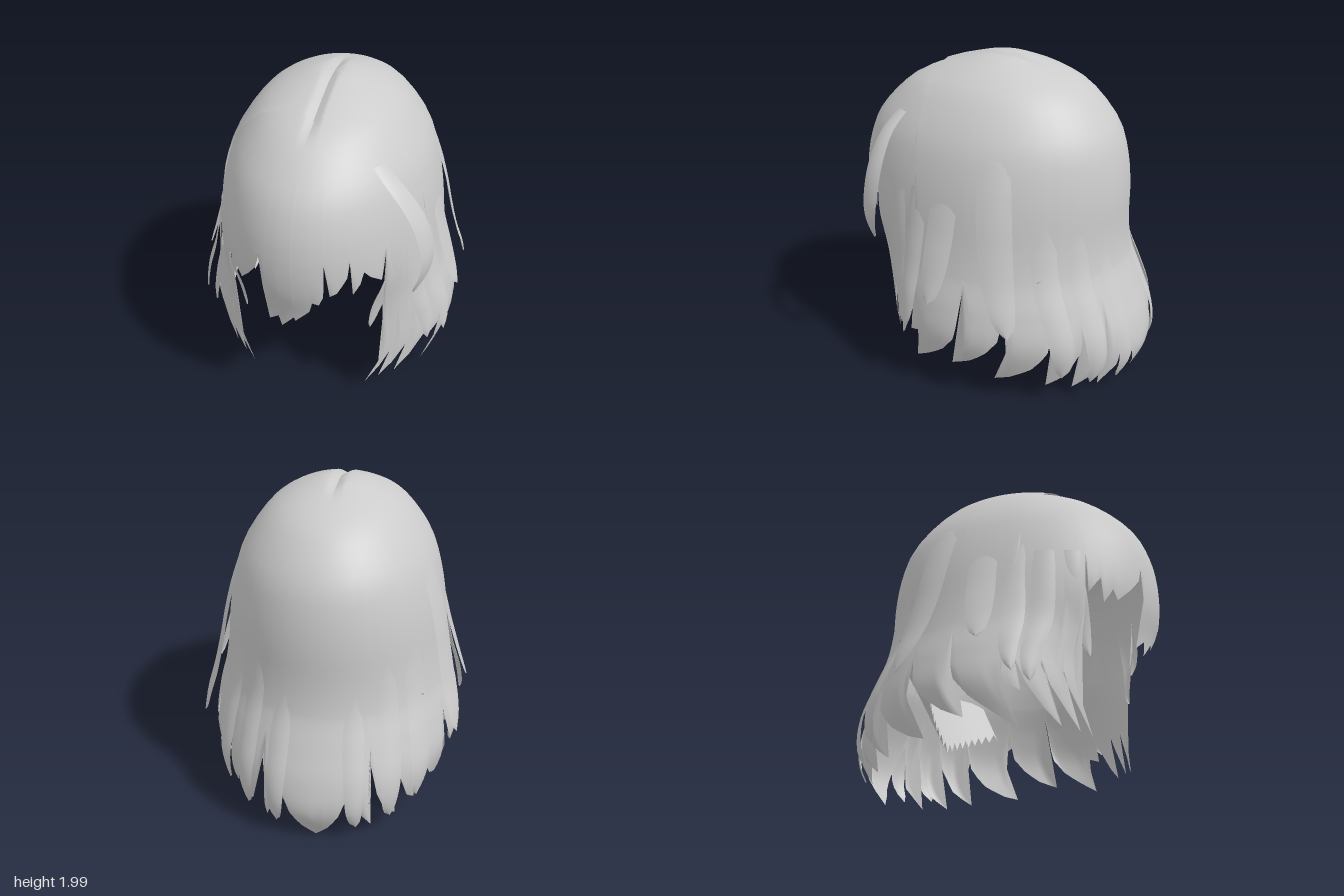
import * as THREE from 'three';

const material = new THREE.MeshStandardMaterial({ color: 0xcccccc, side: THREE.DoubleSide });

// Head profile, crown to tips: height, half width, reach to front, reach to back
const ROWS = [
  [2, 0, 0, 0], [1.99, .1, .11, .11], [1.96, .195, .23, .22], [1.9, .32, .42, .4],
  [1.8, .445, .63, .57], [1.6, .58, .835, .73], [1.4, .645, .925, .79], [1.2, .68, .955, .81],
  [1, .7, .945, .81], [.8, .73, .895, .83], [.6, .78, .865, .9], [.4, .8, .85, .97],
  [.2, .74, .85, .99], [0, .66, .8, .9],
];
const spline = pick => new THREE.CatmullRomCurve3(
  ROWS.map(r => new THREE.Vector3(...pick(r))), false, 'catmullrom', .5);
const reach = spline(r => [r[1], r[2], r[3]]);
const height = spline(r => [0, r[0], 0]);
const { clamp, lerp, degToRad, smoothstep } = THREE.MathUtils;

// Position along the profile (0 crown .. 1 tips) for a height
function alongOf(y) {
  let lo = 0, hi = 1;
  for (let i = 0; i < 22; i++) {
    const mid = (lo + hi) / 2;
    if (height.getPoint(mid).y > y) lo = mid; else hi = mid;
  }
  return (lo + hi) / 2;
}

// Point on the hair shell; deg 0 is the front, 90 the model's left, 180 the back
function shell(deg, t, off) {
  let y = height.getPoint(t).y;
  const r = reach.getPoint(t);
  let a = degToRad(deg);
  const low = Math.max(0, .6 - y);
  const cheek = (Math.max(0, Math.cos(a)) * Math.sin(a)) ** 2;
  // tips sweep forward, hair beside the face hangs straight down
  a -= Math.sin(a) * (low * low + .45 * cheek * smoothstep(1.1 - y, 0, .4));
  const k = 1 + off / .8 - .36 * cheek * smoothstep(1.1 - y, 0, .6);
  const x = Math.sin(a) * r.x * k;
  const z = .03 + Math.cos(a) * (Math.cos(a) > 0 ? r.y : r.z) * k;
  if (y > 1.2) y = 1.2 + (y - 1.2) * k;
  // centre parting
  if (y > 1.8) y -= .03 * Math.max(0, 1 - Math.abs(x) / .05) * clamp((z + .25) / .2, 0, 1) * clamp((.65 - z) / .2, 0, 1);
  return [x, y, z];
}

// Surface from a grid of points, columns by rows
function sheet(name, cols, rows, point) {
  const pos = [], index = [];
  for (let i = 0; i <= cols; i++) {
    for (let j = 0; j <= rows; j++) {
      pos.push(...point(i, j));
      if (i < cols && j < rows) {
        const a = i * (rows + 1) + j, c = a + rows + 1;
        index.push(a, a + 1, c, c, a + 1, c + 1);
      }
    }
  }
  const g = new THREE.BufferGeometry();
  g.setAttribute('position', new THREE.Float32BufferAttribute(pos, 3));
  g.setIndex(index);
  g.computeVertexNormals();
  const mesh = new THREE.Mesh(g, material);
  mesh.name = name;
  return mesh;
}

// Hair from the crown to a cut edge of [degrees, height]; rows are even down to level
function curtain(name, edge, off, level) {
  const cols = [];
  edge.forEach(([d, y], i) => {
    if (i) {
      const [d0, y0] = edge[i - 1];
      const n = Math.ceil((d - d0) / 3);
      for (let k = 1; k < n; k++) cols.push([lerp(d0, d, k / n), lerp(y0, y, k / n)]);
    }
    cols.push([d, y]);
  });
  const mid = alongOf(level), half = 24, ends = cols.map(c => alongOf(c[1]));
  return sheet(name, cols.length - 1, half * 2, (i, j) => {
    const t = j <= half ? Math.min(mid * j / half, ends[i])
      : lerp(Math.min(mid, ends[i]), ends[i], j / half - 1);
    return shell(cols[i][0], t, off);
  });
}

// Tapered lock lying over the shell, rising out of it towards its tip
function lock(name, { deg, width, top, tip, lift, sweep = 0, bow = 0, side = 1 }) {
  const rows = 24, cols = 6, t0 = alongOf(top), t1 = alongOf(tip);
  return sheet(name, cols, rows, (i, j) => {
    const s = j / rows, u = i / cols * 2 - 1, arch = bow * Math.sin(s * Math.PI);
    const half = width / 2 * Math.sqrt(Math.max(0, 1 - s ** 4));
    const d = side * (deg + sweep * s * s + arch * 100) + u * half;
    const off = lerp(-.006, lift, smoothstep(s, 0, .9)) + arch - .008 * u * u;
    return shell(d, lerp(t0, t1, s), off);
  });
}

const mirrorFull = half => [...half, ...half.slice(0, -1).reverse().map(([d, y]) => [360 - d, y])];
const mirrorFront = half => half.slice().reverse().map(([d, y]) => [-d, y]);

export function createModel() {
  const group = new THREE.Group();

  // Seam over the head from ear to ear, a shallow V seen from above
  const seam = [];
  for (let d = 0; d <= 72; d += 4) {
    let y = 1.99;
    for (; y > 1.1; y -= .004) {
      const [x, , z] = shell(d, alongOf(y), 0);
      if (z > .47 - .25 * x) break;
    }
    seam.push([d, y]);
  }

  // Back hair behind the seam, cut into claw-shaped locks
  group.add(curtain('backHair', mirrorFull([
    ...seam, [73.5, .75], [77, .45], [82, .13], [87, .22], [92, .32], [94.5, .42],
    [96, .72], [99, .21], [104, .27], [108, .36], [111, .45], [113, .62], [117, .14], [121, .17],
    [126, .25], [130, .38], [133, .58], [136, .1], [140, .2], [143, .36], [145, .5],
    [147, .06], [151, .16], [154, .32], [156, .5], [158, .04],
    [161, .18], [163, .45], [165, .38], [170, .2], [175, .08], [180, 0],
  ]), 0, .8));

  // Front hair: ragged fringe between long locks framing the face
  const sideEdge = [
    [46.5, 1.2], [47, .7], [48.5, .3], [49.5, .13], [51.5, .25], [53, .38], [55, .5], [56.5, .15],
    [59, .25], [61, .38], [63, .5], [65, .16], [68, .25], [70, .38], [72, .5], [73, .34], [80, .4],
  ];
  const fringeEdge = [
    [-45.5, .98], [-40, 1.08], [-38, .93], [-34, 1.02], [-31, .96], [-24, 1.05], [-19, 1.13], [-17, 1.22],
    [-15, 1.02], [-13.5, .72], [-8, .78], [-6.5, .7], [0, .8], [.5, .77],
    [8, .87], [10, .95], [13, .93], [15.5, 1], [16.5, 1.22], [18.5, 1], [22, 1.02], [27, 1.12], [28.5, 1.22],
    [29.5, .98], [33, 1.05], [35, 1.13], [38, 1.08], [44, 1.02],
  ];
  group.add(curtain('frontHair', [...mirrorFront(sideEdge), ...fringeEdge, ...sideEdge], -.012, 1.24));

  // Inner cap, and the ragged layer below it leaning forward at the nape
  group.add(curtain('innerCap', [[62, .84], [180, .84], [298, .84]], -.09, .9));
  group.add(sheet('napeLayer', 32, 10, (i, j) => {
    const u = i / 16 - 1, s = j / 10;
    const bottom = .29 + .22 * Math.abs(u) + (i % 2) * .05;
    return [u * lerp(.6, .5, s), lerp(.83, bottom, s), -lerp(.68, .44, s) * Math.sqrt(1 - .5 * u * u)];
  }));

  // Loose locks on both sides
  const locks = [
    { deg: 52, width: 8, top: 1.25, tip: .6, lift: -.03, sweep: -13 },
    { deg: 63, width: 9, top: 1.25, tip: .38, lift: .03, sweep: 6 },
    { deg: 74, width: 8, top: 1.3, tip: .42, lift: .07 },
    { deg: 86, width: 11, top: 1.35, tip: .64, lift: .08, sweep: -2 },
    { deg: 107, width: 15, top: 1.7, tip: .52, lift: .09, sweep: 7 },
    { deg: 129, width: 12, top: 1.38, tip: .2, lift: .04, sweep: 8 },
    { deg: 146, width: 11, top: 1.35, tip: .12, lift: .035, sweep: 4 },
    { deg: 163, width: 10, top: 1.25, tip: .08, lift: .02, sweep: 1 },
  ];
  for (const side of [1, -1]) {
    const set = new THREE.Group();
    set.name = side > 0 ? 'leftLocks' : 'rightLocks';
    locks.forEach((l, i) => set.add(lock('lock' + (i + 1), { ...l, side })));
    group.add(set);
  }

  // Single stray lock bowing off the left temple
  group.add(lock('strayLock', { deg: 49, width: 8, top: 1.68, tip: .9, lift: .1, sweep: 8, bow: .09 }));
  return group;
}
